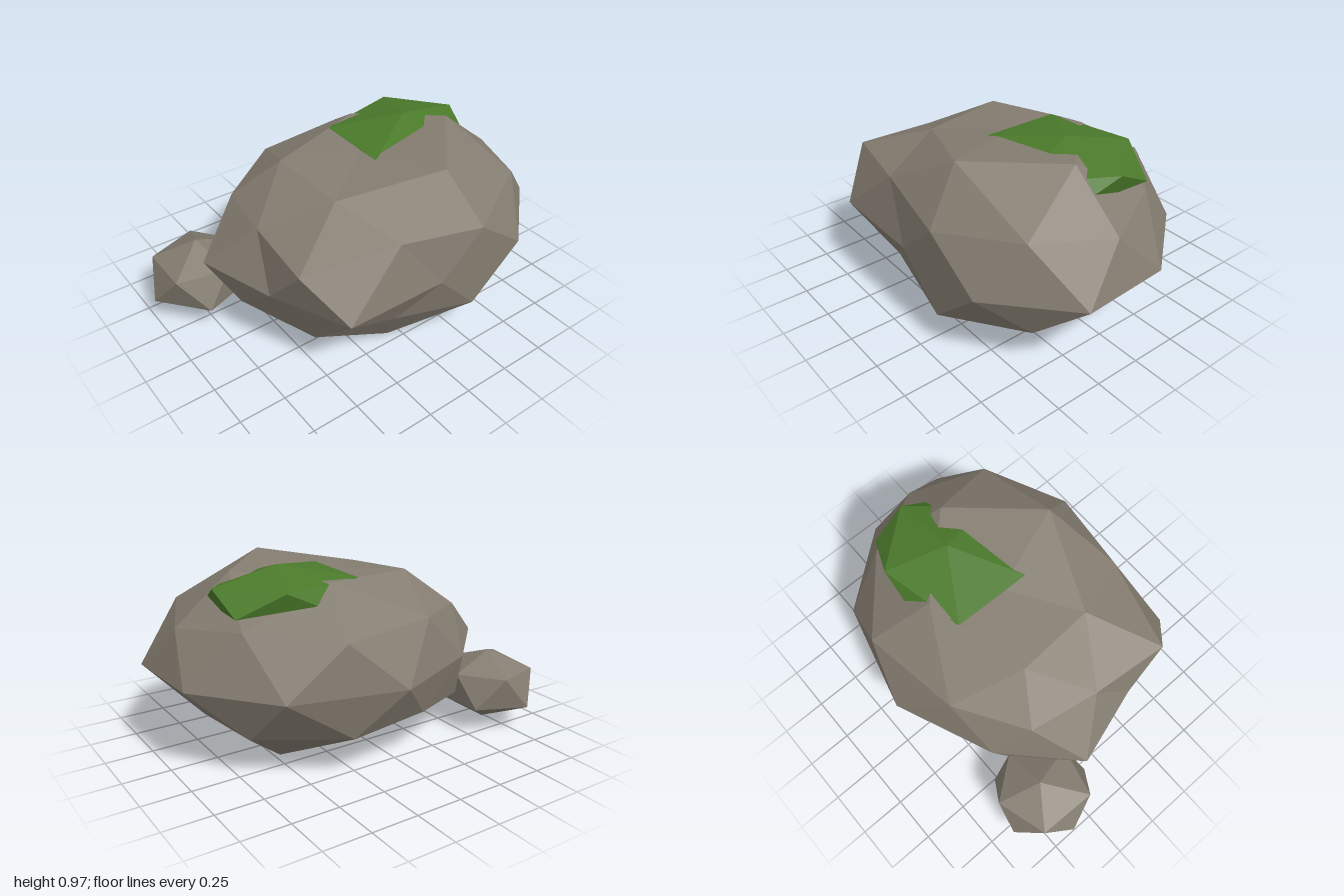
import * as THREE from 'three';

// Each ring lists [x, y, z] points counter-clockwise seen from above, starting at +x.
const at = (ring, i) => ring[(i + ring.length) % ring.length];

// Zigzag strip between two rings of equal count, the lower one half a step ahead
function band(upper, lower) {
  const tris = [];
  upper.forEach((p, j) => {
    tris.push([p, lower[j], at(upper, j + 1)], [p, at(lower, j - 1), lower[j]]);
  });
  return tris;
}

// Fan from a pole to a ring
function fan(pole, ring, flip) {
  return ring.map((p, k) => (flip ? [pole, at(ring, k + 1), p] : [pole, p, at(ring, k + 1)]));
}

// Strip from an inner ring of five to an outer ring of ten
function collar(inner, outer, shift, flip) {
  const tris = [];
  inner.forEach((p, k) => {
    const i = 2 * k + shift, next = at(inner, k + 1);
    const a = at(outer, i), b = at(outer, i + 1), c = at(outer, i + 2);
    tris.push([p, a, b], [p, b, next], [next, b, c]);
  });
  return flip ? tris.map(([a, b, c]) => [a, c, b]) : tris;
}

function facetedMesh(name, tris, material) {
  const geometry = new THREE.BufferGeometry();
  geometry.setAttribute('position', new THREE.Float32BufferAttribute(tris.flat(2), 3));
  geometry.computeVertexNormals();
  const mesh = new THREE.Mesh(geometry, material);
  mesh.name = name;
  return mesh;
}

// Twelve-point lump: pole, two rings of five, pole
const lump = (top, upper, lower, bottom) =>
  [...fan(top, upper), ...band(upper, lower), ...fan(bottom, lower, true)];

export function createModel() {
  const stone = new THREE.MeshStandardMaterial({ color: 0x857d71 });
  stone.name = 'stone';
  const mossGreen = new THREE.MeshStandardMaterial({ color: 0x4b7a2b });
  mossGreen.name = 'mossGreen';

  const group = new THREE.Group();
  group.name = 'mossyRocks';

  // Boulder rings from crown to base
  const crown = [[0.6, 0.945, 0.08], [0.24, 0.915, -0.29], [-0.31, 0.88, -0.15],
    [-0.28, 0.85, 0.28], [0.23, 0.945, 0.49]];
  const shoulder = [[0.9, 0.7, 0.08], [0.72, 0.74, -0.28], [0.35, 0.71, -0.6],
    [-0.18, 0.73, -0.52], [-0.53, 0.69, -0.29], [-0.6, 0.71, 0.08], [-0.64, 0.7, 0.5],
    [-0.15, 0.74, 0.62], [0.31, 0.685, 0.695], [0.73, 0.74, 0.47]];
  const waist = [[0.97, -0.15], [0.65, -0.55], [0.07, -0.7], [-0.45, -0.48], [-0.8, -0.14],
    [-0.67, 0.28], [-0.49, 0.69], [0.06, 0.695], [0.61, 0.68], [0.995, 0.33]]
    .map(([x, z]) => [x, 0.46, z]);
  const belly = [[0.77, 0.22, 0.09], [0.72, 0.22, -0.32], [0.3, 0.22, -0.58],
    [-0.13, 0.25, -0.56], [-0.5, 0.21, -0.38], [-0.69, 0.26, 0.02], [-0.51, 0.21, 0.42],
    [-0.15, 0.27, 0.6], [0.31, 0.195, 0.68], [0.74, 0.24, 0.44]];
  // The belly ring lags the waist by half a step, so turn it one place on
  const bellyTurned = [...belly.slice(1), belly[0]];
  const foot = [[0.47, 0.005, -0.15], [-0.05, 0.07, -0.3], [-0.36, 0.075, 0.02],
    [-0.08, 0.025, 0.46], [0.43, 0.03, 0.31]];
  group.add(facetedMesh('boulder', [
    ...fan([0.07, 0.905, 0.03], crown),
    ...collar(crown, shoulder, 0),
    ...band(shoulder, waist),
    ...band(waist, bellyTurned),
    ...collar(foot, belly, 1, true),
    ...fan([0.08, 0.02, 0.02], foot, true),
  ], stone));

  // Small stone beside the boulder
  group.add(facetedMesh('smallStone', lump(
    [-0.72, 0.42, -0.39],
    [[-0.49, 0.32, -0.4], [-0.65, 0.32, -0.61], [-0.92, 0.31, -0.53], [-0.93, 0.33, -0.22],
      [-0.66, 0.33, -0.16]],
    [[-0.52, 0.15, -0.53], [-0.8, 0.14, -0.635], [-1, 0.14, -0.38], [-0.8, 0.15, -0.12],
      [-0.51, 0.15, -0.22]],
    [-0.72, 0.015, -0.37]), stone));

  // Moss patch sunk into the boulder's top
  group.add(facetedMesh('mossPatch', lump(
    [0.4, 0.975, -0.04],
    [[0.76, 0.905, -0.06], [0.52, 0.91, -0.35], [0.06, 0.905, -0.25], [0.05, 0.905, 0.17],
      [0.49, 0.87, 0.28]],
    [[0.74, 0.8, -0.26], [0.36, 0.83, -0.36], [0.06, 0.83, -0.04], [0.28, 0.82, 0.25],
      [0.7, 0.79, 0.17]],
    [0.42, 0.77, -0.04]), mossGreen));

  return group;
}
